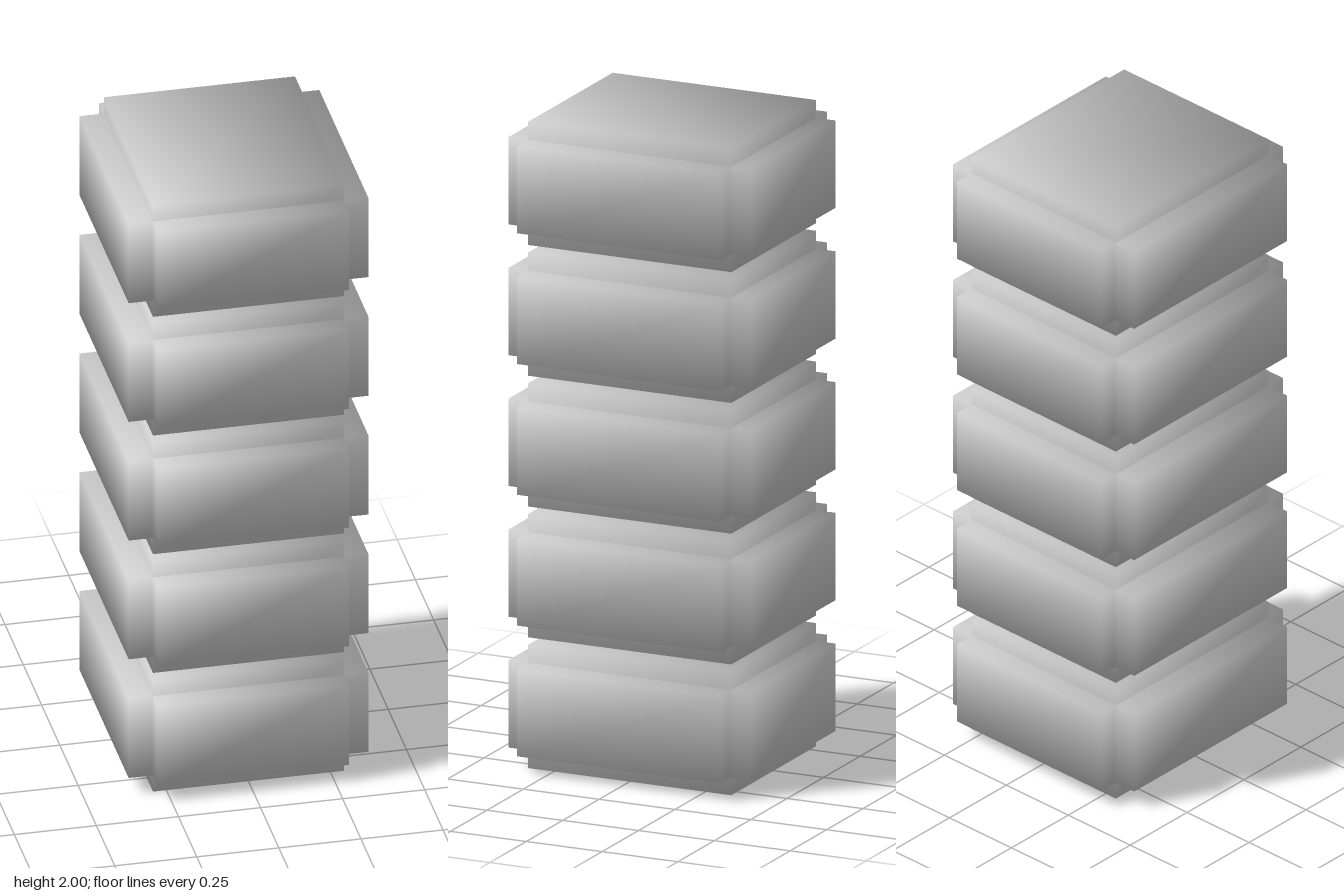
import * as THREE from 'three';
import { mergeVertices } from 'three/addons/utils/BufferGeometryUtils.js';

// Box with eight shared corners, whose normals point diagonally outward
function softBox(width, height, depth) {
  const box = new THREE.BoxGeometry(width, height, depth);
  box.deleteAttribute('normal');
  box.deleteAttribute('uv');
  box.clearGroups();
  const geometry = mergeVertices(box);
  const position = geometry.attributes.position;
  const normals = [];
  const n = new THREE.Vector3();
  for (let i = 0; i < position.count; i++) {
    n.fromBufferAttribute(position, i);
    n.set(Math.sign(n.x), Math.sign(n.y), Math.sign(n.z)).normalize();
    normals.push(n.x, n.y, n.z);
  }
  geometry.setAttribute('normal', new THREE.Float32BufferAttribute(normals, 3));
  return geometry;
}

export function createModel() {
  const model = new THREE.Group();
  model.name = 'blockStack';

  const grey = new THREE.MeshStandardMaterial({ color: 0xcccccc });
  grey.name = 'light grey';

  // Outer and inset sizes of one block
  const outer = { x: 0.73, y: 0.381, z: 0.8 };
  const inset = { x: 0.582, y: 0.27, z: 0.671 };
  const count = 5;
  const pitch = (2 - outer.y) / (count - 1);

  // Three crossing boxes leave a notch along every edge of the block
  const parts = {
    uprightCore: softBox(inset.x, outer.y, inset.z),
    sideCore: softBox(outer.x, inset.y, inset.z),
    frontBackCore: softBox(inset.x, inset.y, outer.z),
  };

  for (let i = 0; i < count; i++) {
    const block = new THREE.Group();
    block.name = `block${i + 1}`;
    block.position.y = outer.y / 2 + i * pitch;
    for (const [name, geometry] of Object.entries(parts)) {
      const mesh = new THREE.Mesh(geometry, grey);
      mesh.name = name;
      block.add(mesh);
    }
    model.add(block);
  }
  return model;
}
